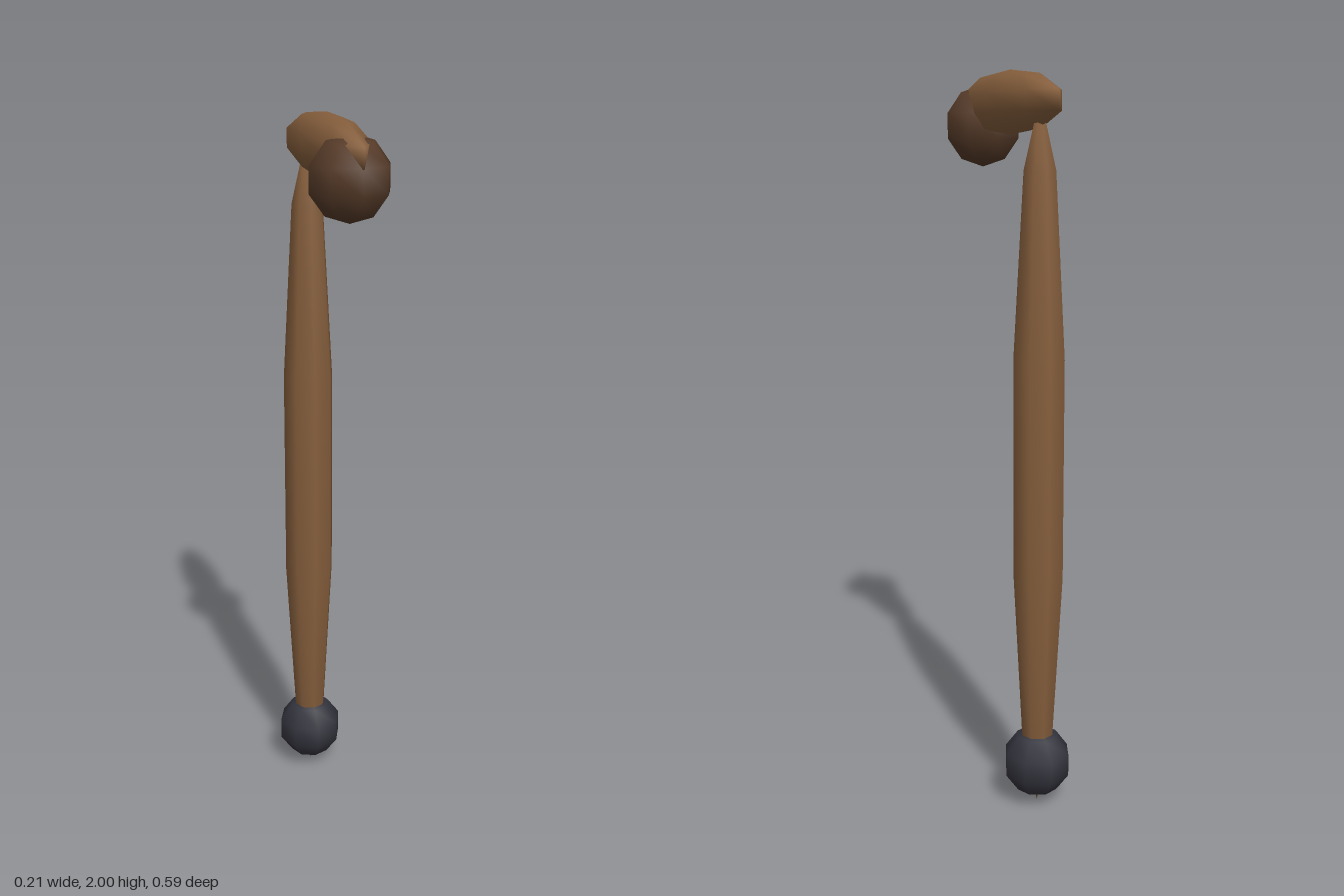
import * as THREE from 'three';

export function createModel() {
  const group = new THREE.Group();
  group.name = 'walkingCane';

  const material = (name, color) => {
    const m = new THREE.MeshStandardMaterial({ color });
    m.name = name;
    return m;
  };
  const wood = material('wood', 0x855e3c);
  const darkWood = material('dark wood', 0x553a28);
  const iron = material('dark iron', 0x33333d);

  // Every part is a stretched low-poly ball
  const ball = new THREE.SphereGeometry(1, 8, 5);
  const addBall = (name, mat, [x, y, z], [rx, ry, rz]) => {
    const mesh = new THREE.Mesh(ball, mat);
    mesh.name = name;
    mesh.position.set(x, y, z);
    mesh.scale.set(rx, ry, rz);
    group.add(mesh);
  };

  // Long tapering shaft, its top buried in the handle
  addBall('shaft', wood, [0, 0.965, -0.185], [0.075, 0.965, 0.075]);
  // Horizontal handle
  addBall('handle', wood, [0, 1.917, 0], [0.0735, 0.083, 0.308]);
  // Knob under the front of the handle
  addBall('knob', darkWood, [0, 1.858, 0.185], [0.11, 0.11, 0.11]);
  // Foot of the cane
  addBall('ferrule', iron, [0, 0.12, -0.185], [0.098, 0.098, 0.098]);

  return group;
}
